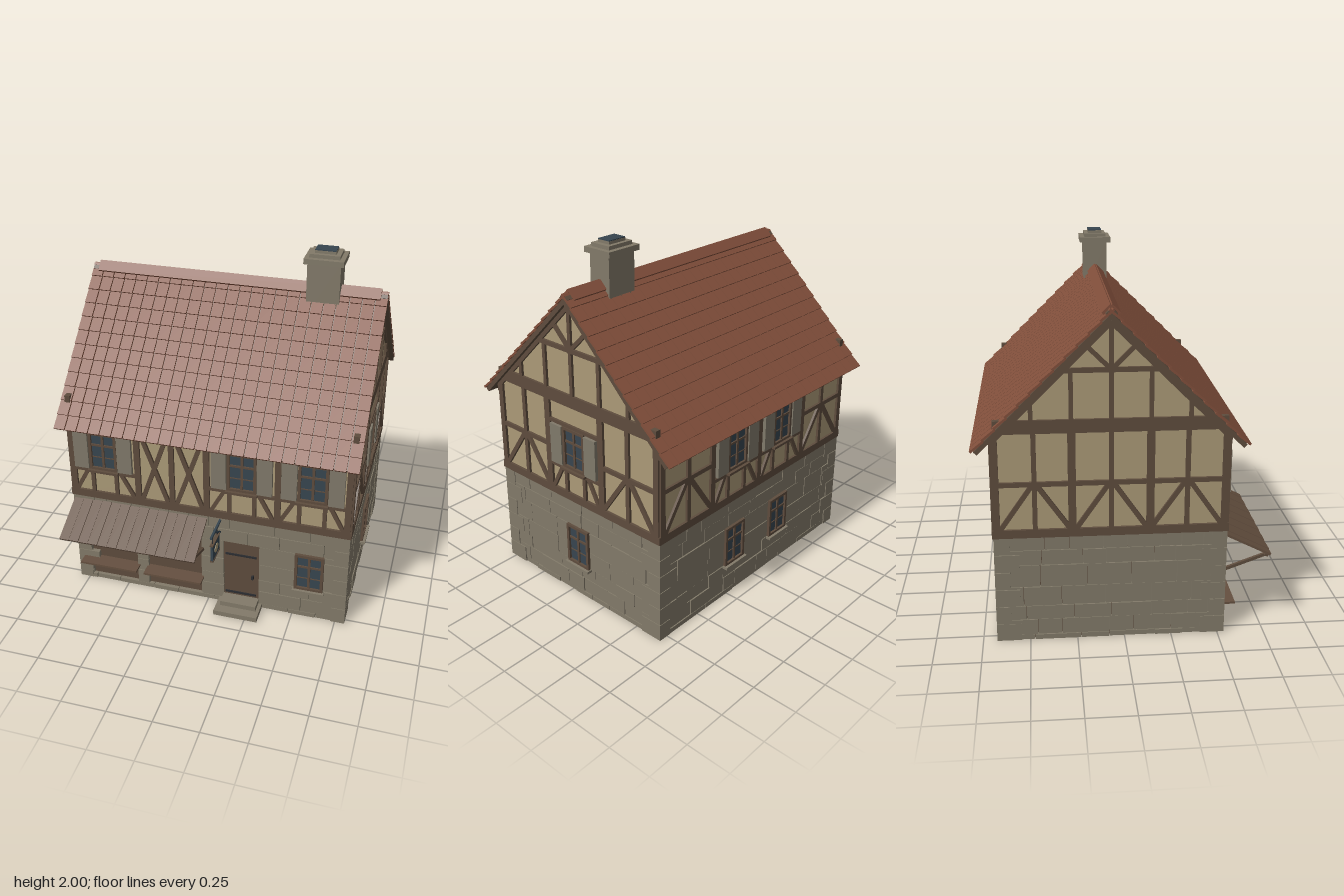
import * as THREE from 'three';
import { mergeGeometries } from 'three/addons/utils/BufferGeometryUtils.js';

const mat = (name, color) => Object.assign(new THREE.MeshStandardMaterial({ color }), { name });
const M = {
  stone: mat('stone', 0x827a69),
  plaster: mat('plaster', 0xab9a77),
  timber: mat('timber', 0x5e4c3d),
  tile: mat('roof tile', 0x814f3b),
  glass: mat('glass', 0x37454f),
  iron: mat('iron', 0x2c2d31),
  canopy: mat('canopy wood', 0x655040),
  shutter: mat('shutter', 0x80796a),
};

let seed = 7;
const rand = () => (seed = (seed * 16807) % 2147483647) / 2147483647;

function box(parent, name, m, w, h, d, x, y, z) {
  const mesh = new THREE.Mesh(new THREE.BoxGeometry(w, h, d), m);
  mesh.name = name;
  mesh.position.set(x, y, z);
  parent.add(mesh);
  return mesh;
}

// Timber between two points on a wall face
function beam(g, x1, y1, x2, y2, w = 0.03) {
  const b = box(g, 'beam', M.timber, Math.hypot(x2 - x1, y2 - y1), w, 0.03,
    (x1 + x2) / 2, (y1 + y2) / 2, -0.003);
  b.rotation.z = Math.atan2(y2 - y1, x2 - x1);
}

// Wall frame: local x runs along the wall, local z points outwards
function wall(house, name, x, z, turn) {
  const g = new THREE.Group();
  g.name = name;
  g.position.set(x, 0, z);
  g.rotation.y = turn;
  house.add(g);
  return g;
}

function windowUnit(parent, x, y, shutters) {
  const g = new THREE.Group();
  g.name = 'window';
  g.position.set(x, y, 0);
  parent.add(g);
  box(g, 'glass', M.glass, 0.15, 0.22, 0.02, 0, 0, -0.006);
  for (const s of [-1, 1]) {
    box(g, 'frameSide', M.timber, 0.016, 0.24, 0.034, s * 0.074, 0, 0);
    box(g, 'frameEdge', M.timber, 0.16, 0.016, 0.034, 0, s * 0.112, 0);
    if (shutters) box(g, 'shutter', M.shutter, 0.085, 0.23, 0.02, s * 0.128, 0, 0.012);
  }
  box(g, 'mullion', M.timber, 0.014, 0.22, 0.03, 0, 0, -0.003);
  box(g, 'transom', M.timber, 0.15, 0.012, 0.028, 0, 0.038, -0.003);
  box(g, 'glazingBar', M.timber, 0.15, 0.005, 0.024, 0, -0.04, -0.004);
  box(g, 'sill', shutters ? M.timber : M.stone, 0.18, 0.014, 0.05, 0, -0.125, 0.008);
}

// Ground floor wall: thin core faced with coursed blocks that leave the openings free
const courses = [0, 0.03, 0.12, 0.2, 0.31, 0.435, 0.52, 0.6];
function stoneWall(g, length, openings) {
  box(g, 'wallCore', M.timber, length - 0.04, 0.6, 0.03, 0, 0.3, -0.035);
  const blocks = [];
  for (let c = 0; c + 1 < courses.length; c++) {
    const y0 = courses[c], y1 = courses[c + 1], mid = (y0 + y1) / 2;
    let x = -length / 2;
    const holes = openings.filter(o => mid > o[2] && mid < o[3]).sort((a, b) => a[0] - b[0]);
    for (const h of [...holes, [length / 2, length / 2]]) {
      while (x < h[0] - 0.001) {
        let end = x + 0.1 + rand() * 0.16;
        if (end > h[0] - 0.05) end = h[0];
        const d = 0.028 + rand() * 0.006;
        blocks.push(new THREE.BoxGeometry(end - x - 0.003, y1 - y0 - 0.003, d)
          .translate((x + end) / 2, mid, -0.03 + d / 2));
        x = end;
      }
      x = h[1];
    }
  }
  const mesh = new THREE.Mesh(mergeGeometries(blocks), M.stone);
  mesh.name = 'stoneBlocks';
  g.add(mesh);
}

// Framed bay with a window
function windowBay(g, x) {
  windowUnit(g, x, 0.915, true);
  beam(g, x - 0.19, 1.045, x + 0.19, 1.045, 0.02);
  beam(g, x - 0.19, 0.785, x + 0.19, 0.785, 0.02);
  for (const s of [-1, 1]) {
    beam(g, x + s * 0.07, 0.63, x + s * 0.07, 0.785, 0.022);
    beam(g, x + s * 0.175, 0.64, x + s * 0.1, 0.78, 0.022);
  }
}

// Framed bay with a middle rail and two braces
function bracedBay(g, x, hw = 0.18) {
  beam(g, x - hw, 0.89, x + hw, 0.89, 0.025);
  beam(g, x, 0.63, x, 1.16, 0.025);
  for (const s of [-1, 1]) beam(g, x + s * hw, 0.64, x + s * 0.015, 0.88, 0.025);
}

// Bay with a tall cross
function crossBay(g, x, hw) {
  for (const s of [-1, 1]) beam(g, x - s * hw, 0.63, x + s * hw, 1.08, 0.025);
}

function longWall(g) {
  box(g, 'plasterWall', M.plaster, 1.6, 0.54, 0.02, 0, 0.87, -0.012);
  beam(g, -0.81, 0.62, 0.81, 0.62, 0.045);
  beam(g, -0.81, 1.1, 0.81, 1.1, 0.04);
  for (const x of [-0.785, -0.4, 0, 0.4, 0.785]) beam(g, x, 0.62, x, 1.12, 0.034);
}

function gableWall(g) {
  const s = new THREE.Shape([[-0.6, 0.6], [0.6, 0.6], [0.6, 1.13], [0, 1.73], [-0.6, 1.13]]
    .map(p => new THREE.Vector2(...p)));
  const geo = new THREE.ExtrudeGeometry(s, { depth: 0.02, bevelEnabled: false }).translate(0, 0, -0.022);
  const mesh = new THREE.Mesh(geo, M.plaster);
  mesh.name = 'gablePlaster';
  g.add(mesh);
  beam(g, -0.61, 0.62, 0.61, 0.62, 0.045);
  beam(g, -0.59, 1.195, 0.59, 1.195, 0.07);
  beam(g, -0.25, 1.48, 0.25, 1.48, 0.025);
  beam(g, 0, 1.23, 0, 1.72, 0.022);
  for (const k of [-1, 1]) {
    beam(g, k * 0.585, 0.62, k * 0.585, 1.17, 0.034);
    beam(g, k * 0.2, 0.62, k * 0.2, 1.17, 0.04);
    beam(g, k * 0.2, 1.23, k * 0.2, 1.48, 0.022);
    beam(g, k * 0.4, 1.23, k * 0.4, 1.33, 0.022);
    beam(g, k * 0.01, 1.49, k * 0.13, 1.61, 0.022);
    beam(g, k * 0.6, 1.12, 0, 1.72, 0.03);
  }
}

// One roof slope, hinged at the ridge and covered in overlapping tiles
function roofSlope(house, turn) {
  const pivot = wall(house, 'roofSlope', 0, -0.07, turn);
  pivot.position.y = 1.79;
  const g = new THREE.Group();
  g.rotation.x = Math.PI / 4;
  pivot.add(g);
  box(g, 'roofDeck', M.timber, 1.67, 0.024, 0.985, 0, -0.03, 0.4925);
  const cols = 25, rows = 12, w = 1.68 / cols, d = 0.995 / rows, tiles = [];
  for (let r = 0; r < rows; r++) for (let c = 0; c < cols; c++) {
    tiles.push(new THREE.BoxGeometry(w - 0.006, 0.012, d + 0.004).rotateX(-0.1)
      .translate(-0.84 + (c + 0.5) * w, -0.01, (r + 0.5) * d));
  }
  const mesh = new THREE.Mesh(mergeGeometries(tiles), M.tile);
  mesh.name = 'roofTiles';
  g.add(mesh);
  box(g, 'ridgeTile', M.tile, 1.6, 0.016, 0.06, 0, 0.004, 0.025);
}

export function createModel() {
  const house = new THREE.Group();
  house.name = 'timberFramedHouse';
  const front = wall(house, 'frontWall', 0, 0.53, 0);
  const back = wall(house, 'backWall', 0, -0.67, Math.PI);
  const left = wall(house, 'leftGable', 0.8, -0.07, Math.PI / 2);
  const right = wall(house, 'rightGable', -0.8, -0.07, -Math.PI / 2);

  // Ground floor
  const hole = x => [x - 0.08, x + 0.08, 0.2, 0.435];
  stoneWall(front, 1.6, [[-0.72, -0.435, 0.03, 0.435], [-0.365, -0.04, 0.03, 0.435],
    [0.095, 0.3, 0.03, 0.435], hole(0.59)]);
  stoneWall(back, 1.6, [hole(-0.2), hole(0.2)]);
  stoneWall(left, 1.2, [hole(0)]);
  stoneWall(right, 1.2, []);
  windowUnit(front, 0.59, 0.32, false);
  windowUnit(left, 0, 0.32, false);
  for (const x of [-0.2, 0.2]) windowUnit(back, x, 0.32, false);

  // Corner stones, alternating long and short
  for (const sx of [-1, 1]) for (const sz of [-1, 1]) for (let i = 0; i < 6; i++) {
    const w = i % 2 ? 0.13 : 0.08, d = i % 2 ? 0.08 : 0.13;
    box(house, 'cornerStone', M.stone, w, 0.096, d,
      sx * (0.806 - w / 2), 0.05 + i * 0.1, -0.07 + sz * (0.606 - d / 2));
  }

  // Upper floor
  longWall(front);
  longWall(back);
  gableWall(left);
  gableWall(right);
  for (const x of [-0.6, 0.2, 0.59]) windowBay(front, x);
  beam(front, -0.2, 0.62, -0.2, 1.1, 0.03);
  for (const x of [-0.3, -0.1]) crossBay(front, x, 0.08);
  for (const x of [-0.2, 0.2]) windowBay(back, x);
  for (const x of [-0.59, 0.59]) bracedBay(back, x);
  windowBay(left, 0);
  for (const x of [-0.39, 0.39]) { bracedBay(left, x); bracedBay(right, x); }
  bracedBay(right, 0);

  // Roof and chimney
  roofSlope(house, 0);
  roofSlope(house, Math.PI);
  const chimney = new THREE.Group();
  chimney.name = 'chimney';
  chimney.position.set(0.495, 0, -0.07);
  house.add(chimney);
  box(chimney, 'shaft', M.stone, 0.18, 0.31, 0.135, 0, 1.785, 0);
  box(chimney, 'cap', M.stone, 0.215, 0.03, 0.18, 0, 1.945, 0);
  box(chimney, 'upperCap', M.stone, 0.165, 0.022, 0.125, 0, 1.969, 0);
  box(chimney, 'flue', M.stone, 0.115, 0.02, 0.08, 0, 1.985, 0);
  box(chimney, 'flueOpening', M.glass, 0.113, 0.006, 0.078, 0, 1.997, 0);

  // Door and steps
  box(front, 'door', M.timber, 0.205, 0.38, 0.018, 0.198, 0.245, -0.014);
  for (const y of [0.08, 0.352]) box(front, 'hinge', M.iron, 0.18, 0.012, 0.008, 0.195, y, -0.003);
  box(front, 'handle', M.iron, 0.012, 0.025, 0.016, 0.265, 0.21, 0);
  box(front, 'lowerStep', M.stone, 0.255, 0.03, 0.13, 0.195, 0.015, 0.065);
  box(front, 'upperStep', M.stone, 0.21, 0.03, 0.08, 0.197, 0.045, 0.035);

  // Shop counters and plank canopy
  for (const x of [-0.595, -0.2]) box(front, 'counter', M.canopy, 0.35, 0.012, 0.1, x, 0.152, 0.02);
  const canopy = new THREE.Group();
  canopy.name = 'canopy';
  canopy.position.set(-0.4, 0.508, 0.122);
  canopy.rotation.x = Math.atan2(0.125, 0.245);
  front.add(canopy);
  for (let i = 0; i < 14; i++) {
    box(canopy, 'plank', M.canopy, 0.055, 0.012, 0.275, -0.371 + i * 0.0571, i % 2 * 0.002, 0);
  }
  box(canopy, 'canopyRail', M.timber, 0.79, 0.014, 0.02, 0, -0.012, 0.12);
  for (const x of [-0.77, -0.42, -0.38, -0.03]) {
    const strut = box(front, 'canopyStrut', M.timber, 0.016, 0.016, 0.25, x, 0.398, 0.112);
    strut.rotation.x = -0.35;
  }

  // Hanging sign on an iron bracket
  const sign = new THREE.Group();
  sign.name = 'hangingSign';
  sign.position.set(0.075, 0, 0);
  front.add(sign);
  box(sign, 'bracket', M.glass, 0.012, 0.012, 0.18, 0, 0.577, 0.09);
  box(sign, 'bracketBrace', M.glass, 0.01, 0.01, 0.135, 0, 0.535, 0.055).rotation.x = -0.6;
  for (const z of [0.06, 0.15]) box(sign, 'hanger', M.iron, 0.005, 0.06, 0.005, 0, 0.545, z);
  box(sign, 'board', M.glass, 0.014, 0.1, 0.13, 0, 0.467, 0.105);
  for (const y of [0.415, 0.52]) box(sign, 'boardEdge', M.timber, 0.02, 0.008, 0.135, 0, y, 0.105);
  const oval = new THREE.Mesh(new THREE.CylinderGeometry(0.03, 0.03, 0.02, 20), M.plaster);
  oval.name = 'signOval';
  oval.rotation.z = Math.PI / 2;
  oval.scale.set(0.8, 1, 1.1);
  oval.position.set(0, 0.467, 0.105);
  sign.add(oval);

  return house;
}
